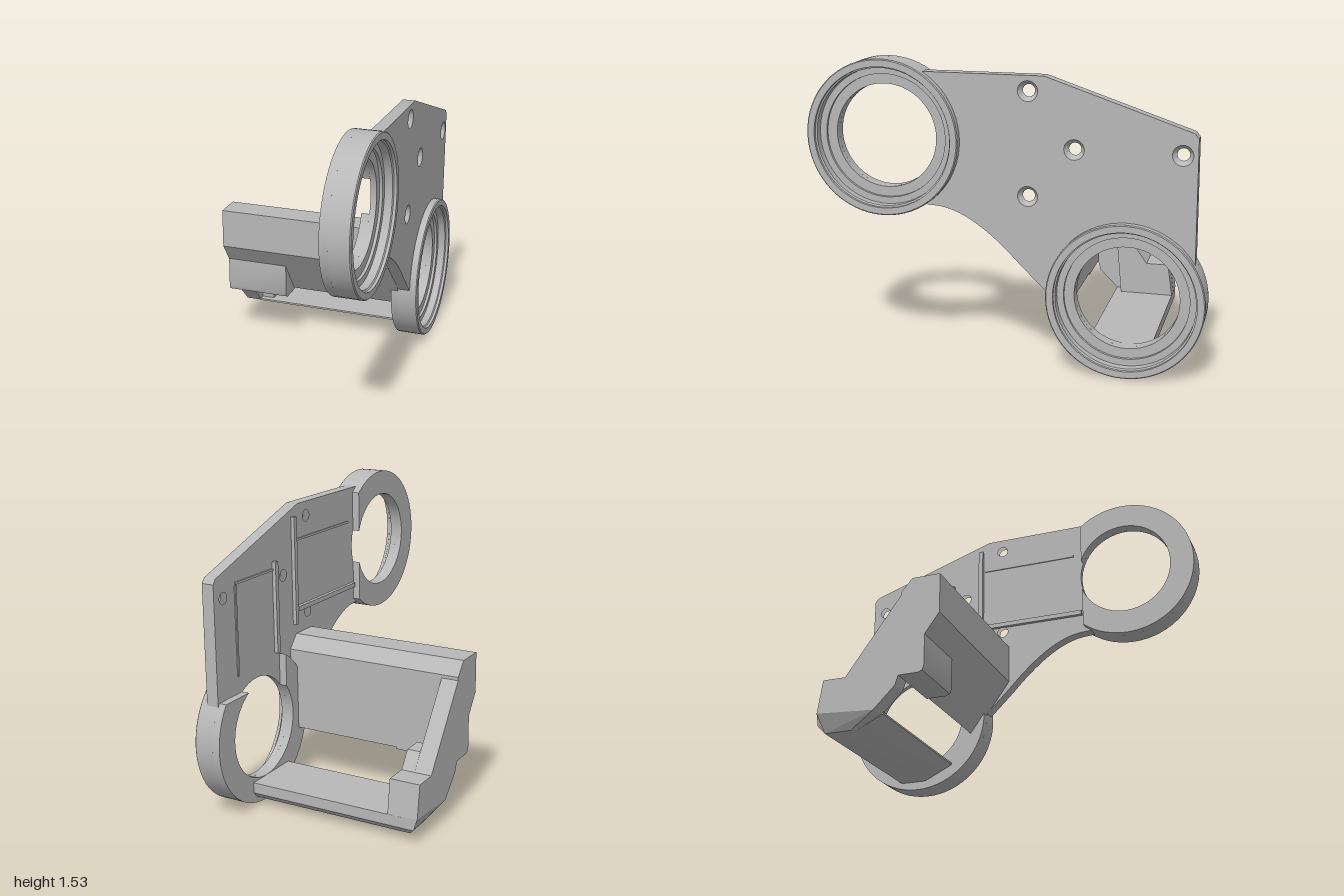
import * as THREE from 'three';
import { toCreasedNormals } from 'three/addons/utils/BufferGeometryUtils.js';

const RING_A = [0.61, 1.143];
const RING_B = [-0.607, 0.396];
const SCREWS = [[-0.12, 1.4], [-0.347, 1.128], [-0.863, 1.128], [-0.12, 0.886]];

// Arc as [z, y] points, angles in degrees from +z towards +y
function arc([cz, cy], r, a0, a1, n = 32) {
  return Array.from({ length: n + 1 }, (_, i) => {
    const a = THREE.MathUtils.degToRad(a0 + (a1 - a0) * i / n);
    return [cz + r * Math.cos(a), cy + r * Math.sin(a)];
  });
}

// Extrude a side profile of [z, y] points from x0 to x1
function extrudeX(profile, x0, x1, holes = []) {
  const flip = pts => pts.map(([z, y]) => new THREE.Vector2(-z, y));
  const shape = new THREE.Shape(flip(profile));
  for (const h of holes) shape.holes.push(new THREE.Path(flip(h)));
  const g = new THREE.ExtrudeGeometry(shape, { depth: x1 - x0, bevelEnabled: false });
  g.rotateY(Math.PI / 2).translate(x0, 0, 0);
  return toCreasedNormals(g, 0.5);
}

// Lathe of [radius, x] points about an axis along x
function latheX(profile, [z, y], segments = 64) {
  const g = new THREE.LatheGeometry(profile.map(p => new THREE.Vector2(...p)), segments);
  g.rotateZ(-Math.PI / 2).translate(0, y, z);
  return toCreasedNormals(g, 0.5);
}

export function createModel() {
  const model = new THREE.Group();
  const grey = new THREE.MeshStandardMaterial({ color: 0xb8b8b8 });
  grey.name = 'plain grey';
  const add = (name, geometry) => {
    const mesh = new THREE.Mesh(geometry, grey);
    mesh.name = name;
    model.add(mesh);
  };

  // Bearing rings with a stepped recess on the outer face
  const ringProfile = [
    [0.26, 0.43], [0.39, 0.43], [0.39, 0.53], [0.385, 0.535], [0.352, 0.535], [0.352, 0.52],
    [0.344, 0.515], [0.344, 0.475], [0.31, 0.475], [0.31, 0.46], [0.26, 0.46], [0.26, 0.43],
  ];
  add('upperRing', latheX(ringProfile, RING_A));
  add('lowerRing', latheX(ringProfile, RING_B));

  // Inner lips of the rings, cut away beside the plate
  add('upperRingLip', extrudeX(
    [...arc(RING_A, 0.39, -129, 129, 48), ...arc(RING_A, 0.26, 160, -160, 48)], 0.39, 0.43));
  add('lowerRingLip', extrudeX(
    [...arc(RING_B, 0.39, 145, 418, 48), ...arc(RING_B, 0.26, 398, 120, 48)], 0.39, 0.43));

  // Side plate with a curved lower edge
  const lowerEdge = new THREE.SplineCurve([
    [-0.215, 0.41], [-0.1, 0.52], [0, 0.62], [0.1, 0.705], [0.2, 0.768], [0.3, 0.805], [0.41, 0.815],
  ].map(p => new THREE.Vector2(...p))).getPoints(24).map(p => [p.x, p.y]);
  const outline = [
    [0.4, 1.475], [-0.2, 1.475], [-0.915, 1.235], [-0.935, 1.21],
    ...arc(RING_B, 0.365, 155, 3), ...lowerEdge, ...arc(RING_A, 0.37, 240, 121),
  ];
  const holes = r => SCREWS.map(s => arc(s, r, 0, 345, 23));
  add('plateInner', extrudeX(outline, 0.43, 0.465, holes(0.03)));
  add('plateOuter', extrudeX(outline, 0.465, 0.495, holes(0.05)));

  // Countersinks
  for (const s of SCREWS) {
    add('countersink', latheX([[0.03, 0.465], [0.051, 0.465], [0.051, 0.495], [0.03, 0.465]], s, 24));
  }

  // Low ribs on the inner face of the plate: z, y, width, height, depth
  for (const [z, y, w, h, d] of [
    [-0.25, 1.13, 0.025, 0.57, 0.02], [-0.43, 0.98, 0.025, 0.48, 0.02],
    [-0.765, 0.94, 0.012, 0.46, 0.006], [0.06, 0.925, 0.58, 0.025, 0.02],
    [0.04, 1.29, 0.54, 0.012, 0.006], [-0.6, 1.18, 0.33, 0.012, 0.006],
  ]) {
    const g = new THREE.BoxGeometry(d, h, w);
    add('plateRib', g.translate(0.43 - d / 2, y, z));
  }

  // Upper arm and its front hook
  add('upperArm', extrudeX([
    [-0.085, 0.79], [-0.235, 0.79], [-0.295, 0.72], [-0.295, 0.29], [-0.085, 0.58],
  ], -0.54, 0.43));
  add('armHook', extrudeX([
    [-0.16, 0.48], [-0.295, 0.48], [-0.295, 0.28], [-0.19, 0.28], [-0.169, 0.289], [-0.16, 0.31],
  ], -0.54, -0.2));

  // Lower arm
  add('lowerArm', extrudeX([
    [-0.405, 0.135], [-0.725, 0.135], [-0.725, 0.08], [-0.7, 0.05], [-0.56, 0.05], [-0.405, 0.125],
  ], -0.46, 0.4));

  // End wall joining the arms, its lower outside corner drawn in
  const wall = extrudeX([
    [-0.29, 0.71], [-0.58, 0.31], [-0.7, 0.31], [-0.725, 0.14], [-0.725, 0.08], [-0.7, 0.05],
    [-0.56, 0.05], [-0.42, 0.12], [-0.31, 0.23], [-0.29, 0.29],
  ], -0.54, -0.45);
  const pos = wall.attributes.position;
  for (let i = 0; i < pos.count; i++) {
    if (pos.getX(i) < -0.5 && pos.getY(i) < 0.1) pos.setX(i, -0.49 - (pos.getY(i) - 0.05));
  }
  wall.computeVertexNormals();
  add('endWall', wall);

  // Raised pad inside the end wall
  add('endPad', extrudeX([
    [-0.415, 0.395], [-0.52, 0.395], [-0.58, 0.31], [-0.7, 0.31], [-0.725, 0.13], [-0.44, 0.13],
  ], -0.45, -0.38));

  return model;
}
